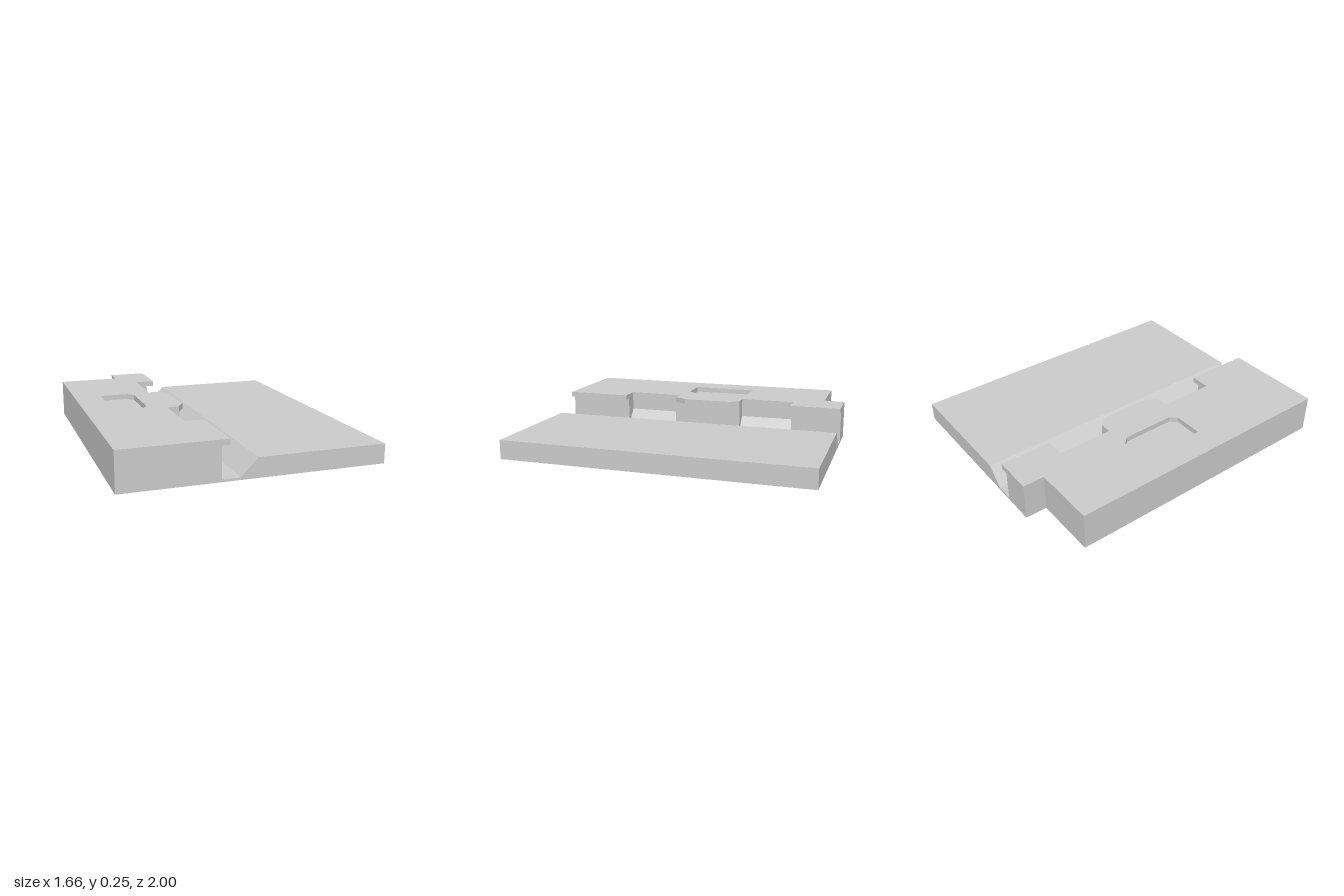
import * as THREE from 'three';

const material = new THREE.MeshStandardMaterial({ color: 0xcccccc, flatShading: true });

const toPoints = (list) => list.map(([a, b]) => new THREE.Vector2(a, b));

// Upright prism from a plan outline of [x, z] points, between two heights
function planPrism(name, outline, y0, y1, hole) {
  const flip = (list) => toPoints(list.map(([x, z]) => [x, -z]));
  const shape = new THREE.Shape(flip(outline));
  if (hole) shape.holes.push(new THREE.Path(flip(hole)));
  const geometry = new THREE.ExtrudeGeometry(shape, { depth: y1 - y0, bevelEnabled: false });
  geometry.rotateX(-Math.PI / 2).translate(0, y0, 0);
  const mesh = new THREE.Mesh(geometry, material);
  mesh.name = name;
  return mesh;
}

// Prism from a cross-section of [x, y] points, run from z0 to z1
function sectionPrism(name, outline, z0, z1) {
  const shape = new THREE.Shape(toPoints(outline));
  const geometry = new THREE.ExtrudeGeometry(shape, { depth: z1 - z0, bevelEnabled: false });
  geometry.translate(0, 0, z0);
  const mesh = new THREE.Mesh(geometry, material);
  mesh.name = name;
  return mesh;
}

export function createModel() {
  const group = new THREE.Group();
  group.name = 'slottedPlate';

  const left = -0.83, right = 0.83;
  const notchBack = -0.30, wall = -0.22, lip = -0.17;
  const floorY = 0.015, slabY = 0.125, plateY = 0.215, topY = 0.25;
  const notches = [[-0.66, -0.29], [0.185, 0.555]];

  // Low slab with the ramp and the channel floor
  group.add(sectionPrism('rampSlab', [
    [wall, 0], [right, 0], [right, slabY], [0, slabY], [-0.105, floorY], [wall, floorY],
  ], -1, 1));

  // Tall block with a stepped back corner
  const backEdge = [[-0.42, -1], [-0.42, -0.86], [left, -0.86], [left, 1]];
  group.add(planPrism('tallBlock', [[notchBack, 1], [notchBack, -1], ...backEdge], 0, plateY));

  // Channel wall between the notches
  const wallSpans = [[-1, notches[0][0]], [notches[0][1], notches[1][0]], [notches[1][1], 1]];
  for (const [z0, z1] of wallSpans) {
    group.add(sectionPrism('channelWall', [
      [notchBack, 0], [wall, 0], [wall, plateY], [notchBack, plateY],
    ], z0, z1));
  }

  // Sloping notch floors
  for (const [z0, z1] of notches) {
    group.add(sectionPrism('notchSlope', [
      [notchBack, 0], [wall, 0], [wall, floorY], [notchBack, slabY],
    ], z0, z1));
  }

  // Top plate with overhanging lip, notches and shallow recess
  const topOutline = [
    [lip, 1], [lip, 0.555], [notchBack, 0.555], [notchBack, 0.185], [wall, 0.185],
    [lip, 0.10], [lip, -0.23], [wall, -0.29], [notchBack, -0.29], [notchBack, -0.66],
    [lip, -0.66], [lip, -1], ...backEdge,
  ];
  const recess = [
    [-0.65, -0.285], [-0.46, -0.285], [-0.42, -0.24],
    [-0.42, 0.11], [-0.46, 0.155], [-0.65, 0.155],
  ];
  group.add(planPrism('topPlate', topOutline, plateY, topY, recess));

  return group;
}
